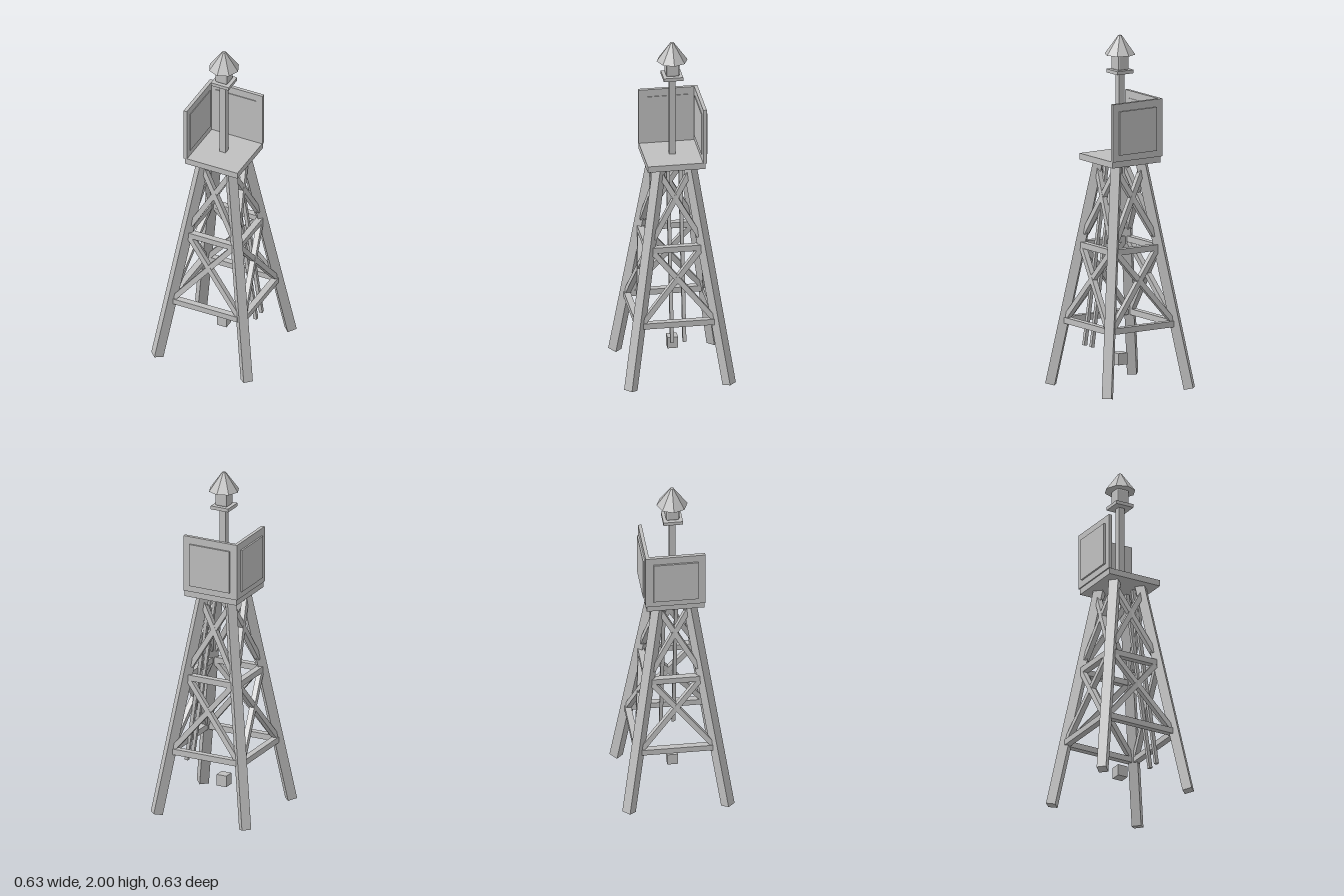
import * as THREE from 'three';
import { RoundedBoxGeometry } from 'three/addons/geometries/RoundedBoxGeometry.js';

export function createModel() {
  const model = new THREE.Group();
  model.name = 'watchtower';
  const grey = new THREE.MeshStandardMaterial({ color: 0xbfbfbf });
  grey.name = 'grey';

  const add = (name, geometry, parent = model) => {
    const mesh = new THREE.Mesh(geometry, grey);
    mesh.name = name;
    parent.add(mesh);
    return mesh;
  };
  const box = (name, w, h, d, x, y, z) =>
    add(name, new THREE.BoxGeometry(w, h, d).translate(x, y, z));
  const facet = (g) => {
    const flat = g.index ? g.toNonIndexed() : g;
    flat.computeVertexNormals();
    return flat;
  };

  // Square-section bar from a to b; its depth axis points towards `outward`
  const bar = (name, a, b, width, depth, outward, parent = model) => {
    const start = new THREE.Vector3(...a), end = new THREE.Vector3(...b);
    const dir = end.clone().sub(start);
    const length = dir.length();
    dir.normalize();
    const side = dir.clone().cross(new THREE.Vector3(...outward)).normalize();
    const out = side.clone().cross(dir);
    const g = new THREE.BoxGeometry(width, length, depth);
    g.applyMatrix4(new THREE.Matrix4().makeBasis(side, dir, out));
    const mid = start.add(end).multiplyScalar(0.5);
    return add(name, g.translate(mid.x, mid.y, mid.z), parent);
  };

  // Distance of a leg's centre line from each axis at height y
  const spread = (y) => 0.279 - 0.151 * y;

  // Four splayed legs, turned 45 degrees
  for (const sx of [-1, 1]) for (const sz of [-1, 1]) {
    const at = (y) => [sx * spread(y), y, sz * spread(y)];
    bar('leg', at(0.006), at(1.292), 0.054, 0.054, [sx, 0, sz]);
  }

  // Cross beams and X braces, one set per side
  for (let i = 0; i < 4; i++) {
    const side = new THREE.Group();
    side.name = 'sideBracing';
    side.rotation.y = i * Math.PI / 2;
    model.add(side);
    for (const [y, half] of [[0.373, 0.2], [0.805, 0.135]]) {
      add('crossBeam', new THREE.BoxGeometry(half * 2, 0.034, 0.036)
        .translate(0, y, spread(y)), side);
    }
    for (const [x0, y0, x1, y1] of [[0.2, 0.39, 0.14, 0.8], [0.13, 0.87, 0.08, 1.235]]) {
      for (const s of [-1, 1]) {
        bar('diagonalBrace', [s * x0, y0, spread(y0)], [-s * x1, y1, spread(y1)],
          0.03, 0.03, [0, 0, 1], side);
      }
    }
  }

  // Ladder rails leaning along the left side
  for (const z of [-0.035, 0.035]) {
    bar('ladderRail', [spread(0.255) - 0.025, 0.255, z], [spread(1.288) - 0.02, 1.288, z],
      0.02, 0.02, [1, 0, 0]);
  }

  // Small block under the tower
  box('groundBlock', 0.06, 0.066, 0.06, 0, 0.163, 0);

  // Platform with two corner walls, each carrying a raised plate on both faces
  box('platform', 0.326, 0.036, 0.326, 0, 1.303, 0);
  box('backWall', 0.336, 0.328, 0.02, -0.002, 1.484, -0.16);
  box('rightWall', 0.02, 0.328, 0.316, -0.16, 1.484, 0.008);
  box('backWallPlate', 0.252, 0.248, 0.034, 0, 1.481, -0.163);
  box('rightWallPlate', 0.034, 0.248, 0.252, -0.163, 1.481, 0);

  // Mast, lantern shelf, lantern and eight-sided roof
  box('mast', 0.036, 0.475, 0.036, 0, 1.555, 0);
  box('lanternShelf', 0.11, 0.02, 0.11, 0, 1.796, 0);
  add('lantern', facet(new RoundedBoxGeometry(0.076, 0.09, 0.076, 1, 0.01)
    .translate(0, 1.85, 0)));
  add('lanternRoof', facet(new THREE.CylinderGeometry(0.01, 0.0875, 0.108, 8)
    .translate(0, 1.946, 0)));

  return model;
}
